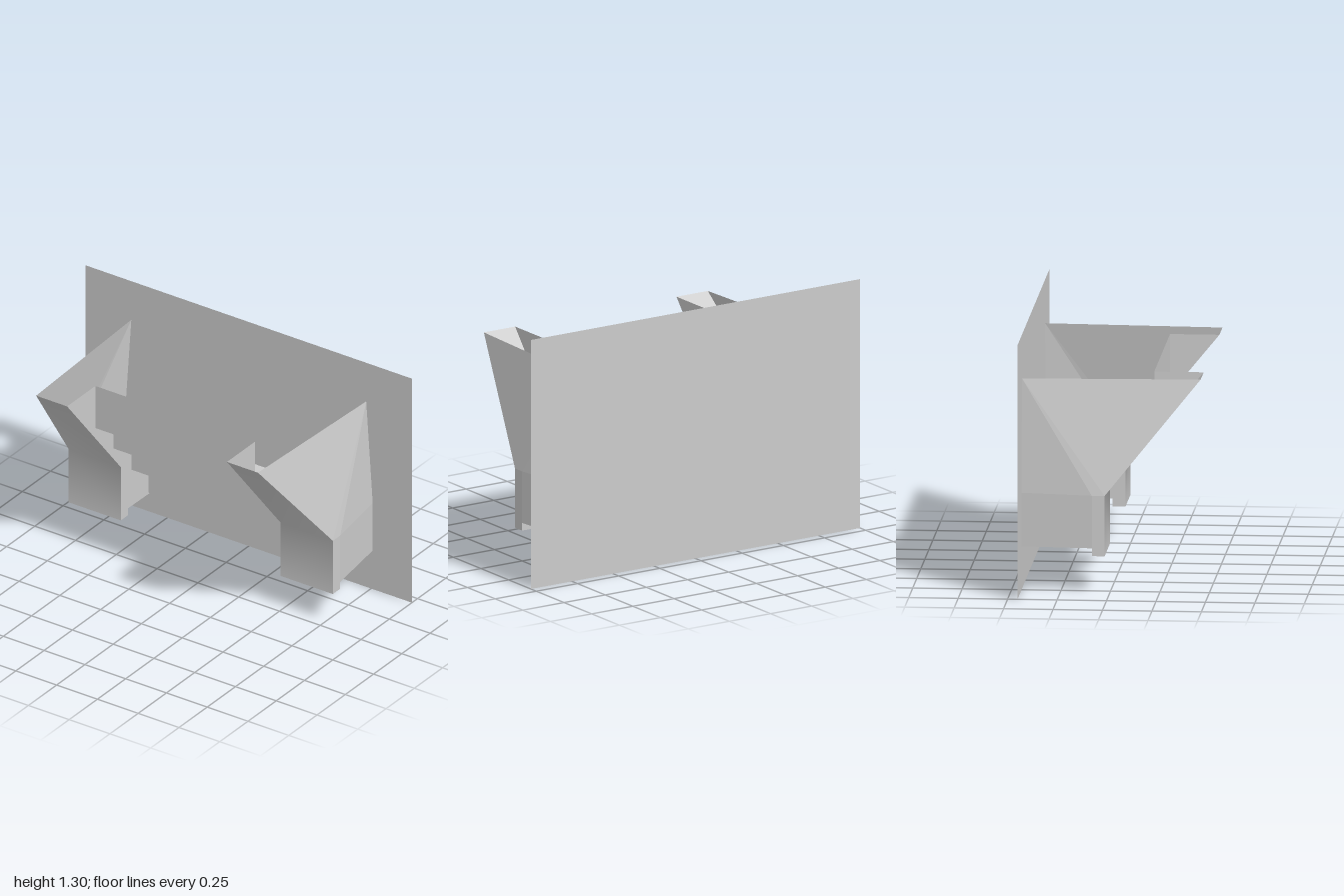
import * as THREE from 'three';

const material = new THREE.MeshStandardMaterial({ color: 0xcccccc, side: THREE.DoubleSide });

const TOP = 1.08, BACK = -0.45, INNER = 0.49, OUTER = 0.81, OUTER_BACK = 0.76;

// Underside-stepped profile of the middle, as [z, y] from top front to back
const STEPS = [
  [0.2, TOP], [0.2, 0.835], [0.04, 0.835], [0.04, 0.64], [-0.12, 0.64],
  [-0.12, 0.44], [-0.27, 0.44], [-0.27, 0.235], [BACK, 0.235],
];

// Front and bottom profile of a side pillar, as [z, y, outer x]
const PILLAR = [
  [0.45, TOP, 0.68], [-0.025, 0.5, OUTER], [-0.025, 0.19, OUTER],
  [-0.09, 0.19, OUTER], [-0.09, 0.23, OUTER], [BACK, 0.225, OUTER_BACK],
];

function addMesh(parent, name, geometry) {
  const mesh = new THREE.Mesh(geometry, material);
  mesh.name = name;
  parent.add(mesh);
}

// Surface between two polylines with equal point counts
function ribbon(left, right, smooth = false) {
  const n = left.length, index = [];
  for (let i = 0; i < n - 1; i++) {
    index.push(i, i + 1, n + i);
    if (right[i] !== right[i + 1]) index.push(i + 1, n + i + 1, n + i);
  }
  let geometry = new THREE.BufferGeometry();
  geometry.setAttribute('position', new THREE.Float32BufferAttribute([...left, ...right].flat(), 3));
  geometry.setIndex(index);
  if (!smooth) geometry = geometry.toNonIndexed();
  geometry.computeVertexNormals();
  return geometry;
}

// Open-topped pillar on the +x side
function createPillar(name) {
  const pillar = new THREE.Group();
  pillar.name = name;
  const inside = PILLAR.map(([z, y]) => [INNER, y, z]);
  const outside = PILLAR.map(([z, y, x]) => [x, y, z]);

  // Softly shaded front, stepped bottom
  addMesh(pillar, 'pillarFront', ribbon(inside.slice(0, 3), outside.slice(0, 3), true));
  addMesh(pillar, 'pillarBottom', ribbon(inside.slice(2), outside.slice(2)));

  // Outer wall: leaning upper part, front lip and lower rear part
  const backTop = [0.72, TOP, BACK], backMid = [OUTER_BACK, 0.5, BACK];
  const lipTop = [OUTER, 0.5, -0.09];
  addMesh(pillar, 'outerWallUpper', ribbon([outside[0], outside[1], lipTop], [backTop, backTop, backMid]));
  addMesh(pillar, 'outerWallLip', ribbon([outside[1], outside[2]], [lipTop, outside[3]]));
  addMesh(pillar, 'outerWallLower', ribbon([lipTop, outside[4]], [backMid, outside[5]]));

  // Inner wall fills the gap between the steps and the pillar front
  const outline = [...PILLAR, ...[...STEPS].reverse()].map(([z, y]) => new THREE.Vector2(z, y));
  const wall = new THREE.ShapeGeometry(new THREE.Shape(outline));
  wall.rotateY(-Math.PI / 2).translate(INNER, 0, 0);
  addMesh(pillar, 'innerWall', wall);
  return pillar;
}

export function createModel() {
  const model = new THREE.Group();
  model.name = 'steppedWallUnit';

  // Thin back panel
  const panel = new THREE.PlaneGeometry(2, 1.305);
  panel.translate(0, 1.305 / 2, BACK);
  addMesh(model, 'backPanel', panel);

  // Stepped middle, open at the top
  addMesh(model, 'steppedFront', ribbon(
    STEPS.map(([z, y]) => [-INNER, y, z]),
    STEPS.map(([z, y]) => [INNER, y, z]),
  ));

  // Mirrored pillars
  const rightPillar = createPillar('rightPillar');
  rightPillar.scale.x = -1;
  model.add(createPillar('leftPillar'), rightPillar);
  return model;
}
